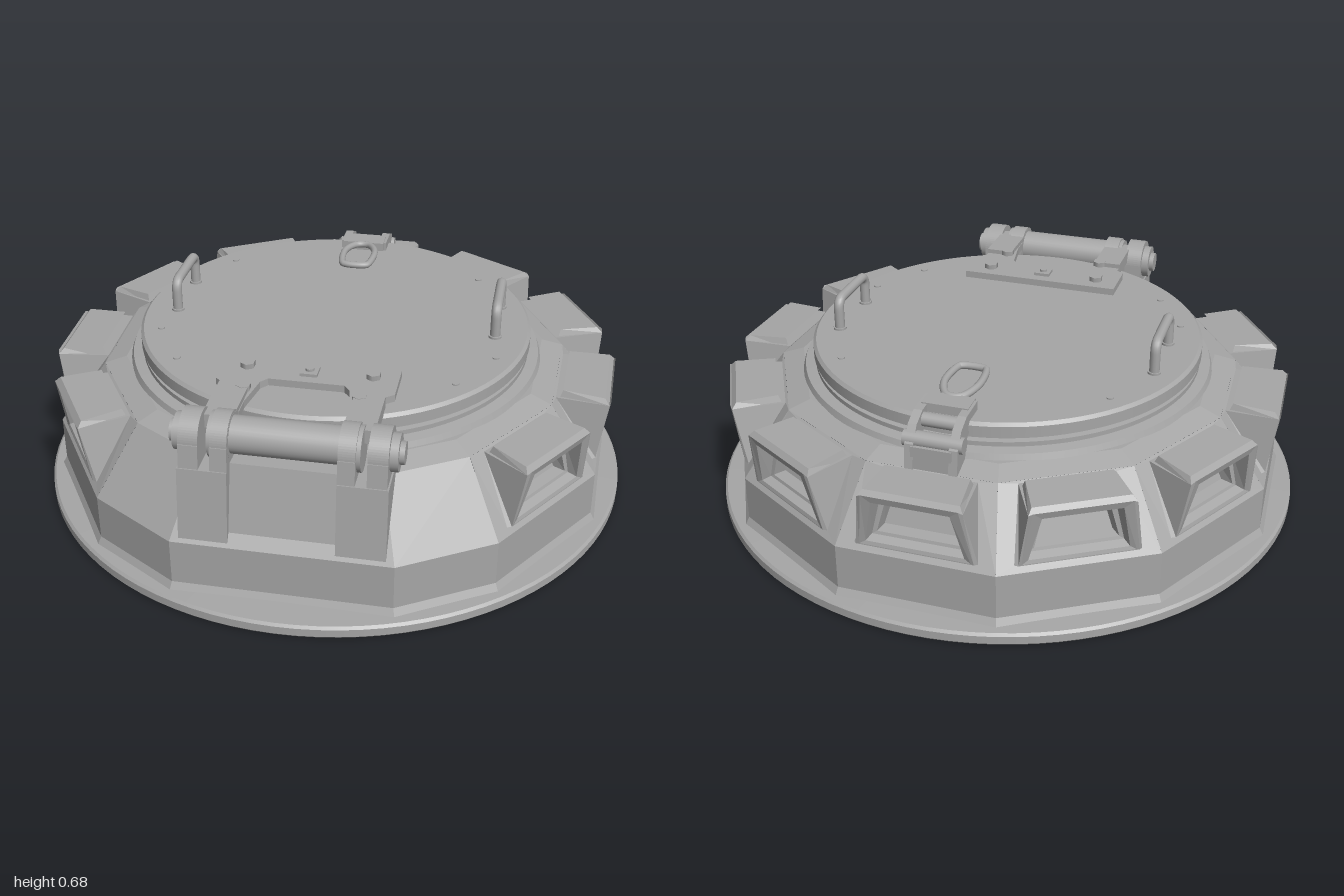
import * as THREE from 'three';

const metal = new THREE.MeshStandardMaterial({ color: 0xa6a6a6 });
metal.name = 'grey metal';

const STEP = THREE.MathUtils.degToRad(30.8); // spacing of the hooded bays

function add(parent, name, geometry, x = 0, y = 0, z = 0) {
  const m = new THREE.Mesh(geometry, metal);
  m.name = name;
  m.position.set(x, y, z);
  parent.add(m);
  return m;
}

// Joins equal loops of points with flat quads and optionally caps the last one
function loft(rings, cap = true) {
  const p = [];
  const tri = (...v) => v.forEach(q => p.push(...q));
  const n = rings[0].length;
  for (let k = 0; k + 1 < rings.length; k++) for (let i = 0; i < n; i++) {
    const j = (i + 1) % n, a = rings[k], b = rings[k + 1];
    tri(a[i], a[j], b[j]);
    tri(a[i], b[j], b[i]);
  }
  const last = rings[rings.length - 1];
  if (cap) for (let i = 1; i + 1 < n; i++) tri(last[0], last[i], last[i + 1]);
  const g = new THREE.BufferGeometry();
  g.setAttribute('position', new THREE.Float32BufferAttribute(p, 3));
  g.computeVertexNormals();
  return g;
}

const cyl = (r, h, n = 24) => new THREE.CylinderGeometry(r, r, h, n);
const bar = (r, h, n = 24) => cyl(r, h, n).rotateZ(Math.PI / 2);

// Sharp-edged lathe: each profile segment is turned separately
function turned(parent, name, profile) {
  const group = new THREE.Group();
  group.name = name;
  for (let i = 0; i + 1 < profile.length; i++) {
    const pts = [profile[i], profile[i + 1]].map(q => new THREE.Vector2(...q));
    add(group, name + 'Band', new THREE.LatheGeometry(pts, 96));
  }
  parent.add(group);
}

// Side profile in (z, y), extruded along x between x0 and x1
function slab(shape, x0, x1) {
  const g = new THREE.ExtrudeGeometry(shape, { depth: x1 - x0, bevelEnabled: false, curveSegments: 16 });
  return g.rotateY(-Math.PI / 2).translate(x1, 0, 0);
}
const polygon = pts => new THREE.Shape(pts.map(q => new THREE.Vector2(...q)));

function tube(points, r, closed = false, tension = 0.5) {
  const c = new THREE.CatmullRomCurve3(points.map(q => new THREE.Vector3(...q)), closed, 'catmullrom', tension);
  return new THREE.TubeGeometry(c, 64, r, 12, closed);
}

// Faceted housing with nine hooded bays and a plain front
function buildBody(root) {
  const body = new THREE.Group();
  body.name = 'body';
  root.add(body);
  const angles = [];
  for (let k = 0; k < 5; k++) angles.push((k + 0.5) * STEP);
  angles.push(THREE.MathUtils.degToRad(159));
  const corners = [...angles, ...angles.map(a => 2 * Math.PI - a).reverse()];
  const at = (a, r, y) => [-r * Math.sin(a), y, -r * Math.cos(a)];
  const ring = (r, y) => corners.map(a => at(a, r, y));
  add(body, 'wall', loft([ring(0.968, 0.04), ring(0.954, 0.065), ring(0.954, 0.215)], false));
  add(body, 'shoulder', loft([ring(0.788, 0.43), ring(0.715, 0.452)]));

  // Plain sloping panels at the front
  for (let i = 4; i < 7; i++) {
    const a = corners[i], b = corners[i + 1];
    add(body, 'frontSlope', loft([[at(a, 0.954, 0.215), at(b, 0.954, 0.215), at(b, 0.788, 0.43), at(a, 0.788, 0.43)]]));
  }

  // Each section: bottom half width, radius, height, then the same for the top
  const sections = [
    [0.2534, 0.92, 0.215, 0.2093, 0.76, 0.43],
    [0.195, 0.905, 0.235, 0.15, 0.768, 0.425],
    [0.185, 0.915, 0.237, 0.163, 0.94, 0.424],
    [0.175, 0.915, 0.24, 0.15, 0.945, 0.432],
    [0.155, 0.912, 0.252, 0.122, 0.938, 0.408],
    [0.145, 0.885, 0.262, 0.115, 0.875, 0.4],
    [0.13, 0.882, 0.272, 0.1, 0.872, 0.388],
    [0.12, 0.845, 0.278, 0.095, 0.81, 0.38],
  ];
  // The roof runs back from the lip to the shoulder
  const roof = [[-0.163, 0.424, 0.94], [0.163, 0.424, 0.94], [0.15, 0.442, 0.925], [-0.15, 0.442, 0.925]];
  for (let k = -4; k <= 4; k++) {
    const t = k * STEP;
    const place = (u, y, r) => [r * Math.sin(t) - u * Math.cos(t), y, -r * Math.cos(t) - u * Math.sin(t)];
    const loops = sections.map(([bw, br, by, tw, tr, ty]) =>
      [place(-bw, by, br), place(bw, by, br), place(tw, ty, tr), place(-tw, ty, tr)]);
    add(body, 'hoodedBay', loft(loops));
    const back = [[-0.145, 0.41, 0.775], [0.145, 0.41, 0.775], [0.135, 0.447, 0.79], [-0.135, 0.447, 0.79]];
    add(body, 'hoodRoof', loft([back, roof].map(l => l.map(q => place(...q)))));
  }
}

// Lid with its grips and screws
function buildLid(root) {
  turned(root, 'neck', [[0.7, 0.445], [0.69, 0.47], [0.655, 0.475], [0.655, 0.49], [0.635, 0.492], [0.635, 0.512]]);
  turned(root, 'lid', [[0.62, 0.508], [0.66, 0.508], [0.66, 0.545], [0.65, 0.555], [0, 0.555]]);
  for (const s of [-1, 1]) {
    add(root, 'gripHandle', tube([[0, 0.54, -0.175], [0, 0.63, -0.175], [0, 0.65, -0.168], [0, 0.66, -0.145],
      [0, 0.66, 0.015], [0, 0.65, 0.038], [0, 0.63, 0.045], [0, 0.54, 0.045]], 0.017, false, 0.3), s * 0.545, 0, 0);
    for (const z of [-0.175, 0.045]) add(root, 'handleFoot', cyl(0.022, 0.01, 16), s * 0.545, 0.557, z);
    for (const [x, z] of [[0.45, -0.38], [0.45, 0.38], [0.56, 0.19]]) {
      add(root, 'lidScrew', cyl(0.012, 0.006, 10), s * x, 0.556, z);
    }
  }
}

// Front hinge: brackets, barrel and the strap bolted on the lid
function buildHinge(root) {
  const hinge = new THREE.Group();
  hinge.name = 'hinge';
  root.add(hinge);
  const Y = 0.535, Z = 0.765;
  const ear = polygon([[0.68, 0.3], [0.87, 0.3], [0.845, Y]]);
  ear.absarc(Z, Y, 0.077, 0, Math.PI, false);
  const foot = polygon([[0.68, 0.155], [0.89, 0.155], [0.857, 0.46], [0.68, 0.46]]);
  const panel = polygon([[0.7, 0.17], [0.885, 0.17], [0.875, 0.2], [0.815, 0.47], [0.7, 0.47]]);
  add(hinge, 'centrePanel', slab(panel, -0.165, 0.165));
  add(hinge, 'barrel', bar(0.058, 0.36, 32), 0, Y + 0.005, Z);
  for (const s of [-1, 1]) {
    const span = (shape, a, b) => slab(shape, Math.min(s * a, s * b), Math.max(s * a, s * b));
    add(hinge, 'bracketFoot', span(foot, 0.163, 0.315));
    add(hinge, 'bracketEar', span(ear, 0.25, 0.31));
    add(hinge, 'strapKnuckle', bar(0.07, 0.065, 32), s * 0.195, Y, Z);
    add(hinge, 'bracketRib', span(ear, 0.163, 0.215));
    add(hinge, 'pinWasher', bar(0.058, 0.025), s * 0.322, Y, Z);
    add(hinge, 'pinHead', bar(0.035, 0.04), s * 0.33, Y, Z);
    add(hinge, 'strapArm', new THREE.BoxGeometry(0.095, 0.045, 0.2), s * 0.21, 0.572, 0.66);
  }

  // Strap plate with a rounded notch between its arms, drawn in (x, -z)
  const plate = polygon([[-0.28, -0.37], [-0.28, -0.52], [-0.255, -0.54], [-0.255, -0.7], [-0.16, -0.7], [-0.16, -0.64],
    [-0.14, -0.52], [-0.12, -0.495], [0.12, -0.495], [0.14, -0.52], [0.16, -0.64], [0.16, -0.7], [0.255, -0.7],
    [0.255, -0.54], [0.28, -0.52], [0.28, -0.37]]);
  const plateGeo = new THREE.ExtrudeGeometry(plate, { depth: 0.025, bevelEnabled: false });
  add(hinge, 'strapPlate', plateGeo.rotateX(-Math.PI / 2), 0, 0.554, 0);
  for (const s of [-1, 1]) {
    add(hinge, 'strapBolt', cyl(0.024, 0.018, 6), s * 0.2, 0.587, 0.43);
    add(hinge, 'strapBolt', cyl(0.024, 0.018, 6), s * 0.18, 0.587, 0.57);
  }
  add(hinge, 'squarePad', new THREE.BoxGeometry(0.055, 0.012, 0.055), 0, 0.583, 0.435);
  add(hinge, 'squarePadBolt', cyl(0.014, 0.01, 12), 0, 0.592, 0.435);
}

// Rear latch with its pull loop
function buildLatch(root) {
  const latch = new THREE.Group();
  latch.name = 'latch';
  root.add(latch);
  add(latch, 'latchBase', new THREE.BoxGeometry(0.13, 0.08, 0.09), 0, 0.465, -0.715);
  const cheek = polygon([[-0.765, 0.43], [-0.69, 0.43], [-0.67, 0.51], [-0.57, 0.555], [-0.57, 0.585],
    [-0.67, 0.582], [-0.72, 0.56], [-0.755, 0.51]]);
  for (const s of [-1, 1]) add(latch, 'latchCheek', slab(cheek, s * 0.07 - 0.014, s * 0.07 + 0.014));
  add(latch, 'latchPin', bar(0.026, 0.19), 0, 0.515, -0.725);
  add(latch, 'latchPin', bar(0.022, 0.16), 0, 0.55, -0.665);
  add(latch, 'latchLever', new THREE.BoxGeometry(0.15, 0.03, 0.075), 0, 0.572, -0.595);
  add(latch, 'pullLoop', tube([[-0.025, 0.58, -0.55], [-0.055, 0.585, -0.48], [-0.05, 0.585, -0.385], [-0.03, 0.585, -0.362],
    [0.03, 0.585, -0.362], [0.05, 0.585, -0.385], [0.055, 0.585, -0.48], [0.025, 0.58, -0.55]], 0.012, true));
}

export function createModel() {
  const root = new THREE.Group();
  root.name = 'hatch';
  // Flange with a shallow recess underneath
  turned(root, 'flange', [[0, 0.02], [0.935, 0.02], [0.935, 0], [0.995, 0], [1, 0.006], [1, 0.032], [0.992, 0.04], [0.9, 0.045]]);
  buildBody(root);
  buildLid(root);
  buildHinge(root);
  buildLatch(root);
  return root;
}
